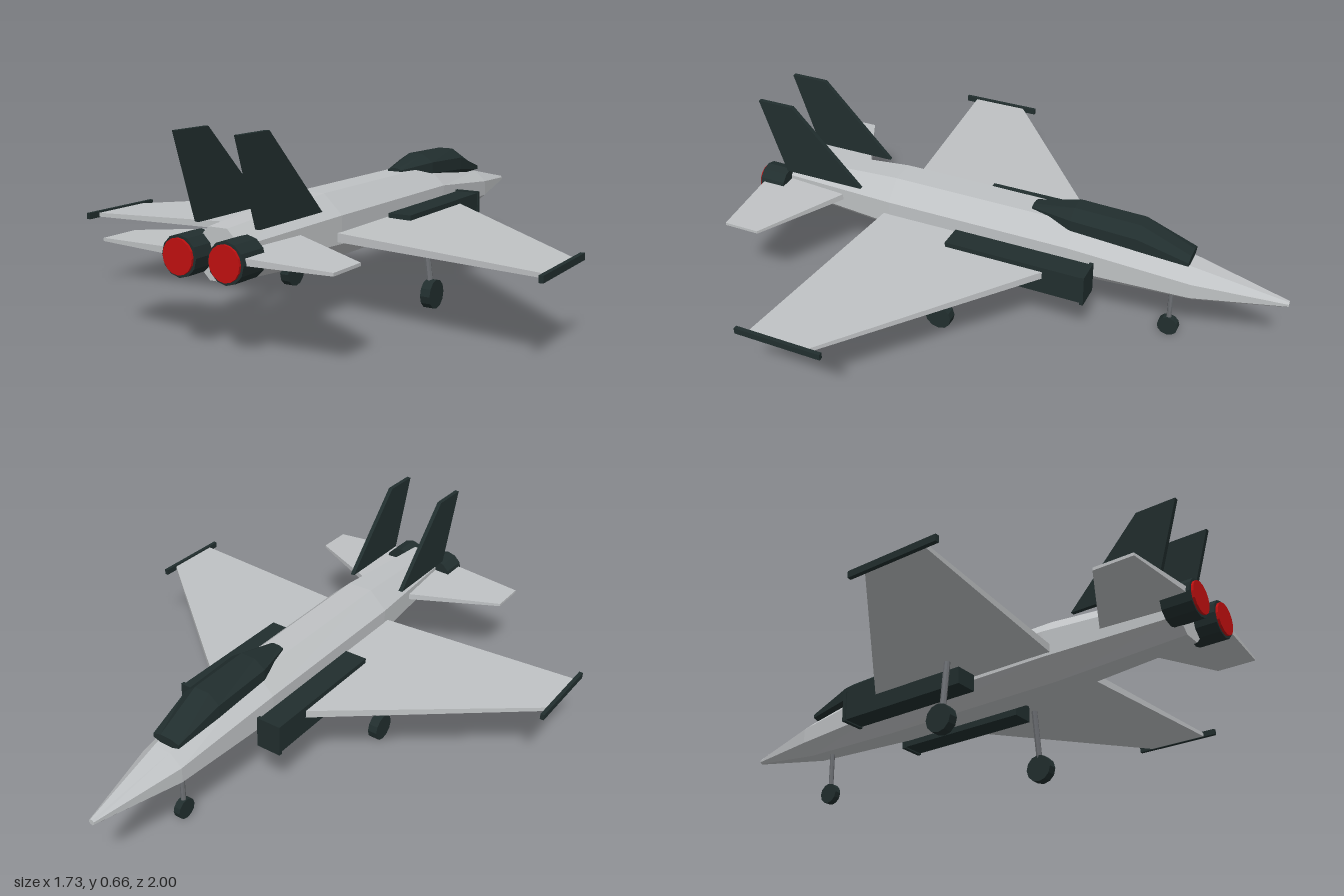
import * as THREE from 'three';
import { ConvexGeometry } from 'three/addons/geometries/ConvexGeometry.js';

const mat = (name, color, flatShading = true) => {
  const m = new THREE.MeshStandardMaterial({ color, flatShading });
  m.name = name;
  return m;
};

// Octagonal loft along z through sections [z, centreY, halfWidth, halfHeight]
function loft(sections, sides = 8) {
  const pos = [], idx = [], k = 1 / Math.cos(Math.PI / sides);
  for (const [z, cy, rx, ry] of sections)
    for (let j = 0; j < sides; j++) {
      const a = ((j + 0.5) / sides) * Math.PI * 2;
      pos.push(Math.cos(a) * rx * k, cy + Math.sin(a) * ry * k, z);
    }
  const last = (sections.length - 1) * sides;
  for (let i = 0; i < sections.length - 1; i++)
    for (let j = 0; j < sides; j++) {
      const n = (j + 1) % sides;
      const a = i * sides + j, b = i * sides + n, c = b + sides, d = a + sides;
      idx.push(a, b, d, b, c, d);
    }
  for (let j = 1; j < sides - 1; j++) idx.push(0, j + 1, j, last, last + j, last + j + 1);
  const g = new THREE.BufferGeometry();
  g.setAttribute('position', new THREE.Float32BufferAttribute(pos, 3));
  g.setIndex(idx);
  const flat = g.toNonIndexed();
  flat.computeVertexNormals();
  return flat;
}

// Tapered surface from a root and a tip chord: { x, z0, z1, y0, y1 }
function panel(side, root, tip) {
  const pts = [];
  for (const c of [root, tip])
    for (const z of [c.z0, c.z1])
      for (const y of [c.y0, c.y1]) pts.push(new THREE.Vector3(side * c.x, y, z));
  return new ConvexGeometry(pts);
}

export function createModel() {
  const model = new THREE.Group();
  model.name = 'jet';
  const grey = mat('lightGrey', 0xbfc2c4);
  const dark = mat('darkGreenBlack', 0x212e2e);
  const steel = mat('strutGrey', 0x6c6f73);
  const red = mat('exhaustRed', 0xc01010);

  const add = (name, geo, material, x = 0, y = 0, z = 0) => {
    const m = new THREE.Mesh(geo, material);
    m.name = name;
    m.position.set(x, y, z);
    model.add(m);
    return m;
  };

  // Strut between two points
  const strut = (name, a, b, r) => {
    const p = new THREE.Vector3(...a), q = new THREE.Vector3(...b);
    const m = add(name, new THREE.CylinderGeometry(r, r, p.distanceTo(q), 8), steel);
    m.position.copy(p).add(q).multiplyScalar(0.5);
    m.quaternion.setFromUnitVectors(new THREE.Vector3(0, 1, 0), p.sub(q).normalize());
  };
  const wheel = (name, x, z, r, w) =>
    add(name, new THREE.CylinderGeometry(r, r, w, 12).rotateZ(Math.PI / 2), dark, x, r + 0.003, z);

  // Body
  add('fuselage', loft([
    [-1, 0.264, 0.01, 0.01],
    [-0.68, 0.273, 0.08, 0.068],
    [-0.25, 0.302, 0.114, 0.112],
    [0.45, 0.306, 0.117, 0.112],
    [0.92, 0.305, 0.082, 0.08],
  ]), grey);
  add('canopy', loft([
    [-0.66, 0.36, 0.054, 0.016],
    [-0.48, 0.4, 0.071, 0.056],
    [-0.24, 0.413, 0.071, 0.049],
    [-0.08, 0.416, 0.028, 0.011],
  ]), dark);

  // Nose gear
  strut('noseStrut', [0, 0.25, -0.6], [0, 0.05, -0.6], 0.009);
  wheel('noseWheel', 0, -0.6, 0.038, 0.026);

  for (const s of [1, -1]) {
    const n = s > 0 ? 'left' : 'right';

    // Wing, tip rail and tailplane
    add(n + 'Wing', panel(s,
      { x: 0.09, z0: -0.295, z1: 0.472, y0: 0.27, y1: 0.3 },
      { x: 0.86, z0: 0.34, z1: 0.555, y0: 0.267, y1: 0.281 }), grey);
    add(n + 'WingTipRail', new THREE.BoxGeometry(0.014, 0.022, 0.32), dark, s * 0.86, 0.276, 0.44);
    add(n + 'Tailplane', panel(s,
      { x: 0.08, z0: 0.645, z1: 0.985, y0: 0.302, y1: 0.326 },
      { x: 0.42, z0: 0.82, z1: 0.955, y0: 0.304, y1: 0.314 }), grey);

    // Upright fin
    const finShape = new THREE.Shape([[0.565, 0.383], [0.88, 0.383], [0.965, 0.662], [0.825, 0.662]]
      .map(([z, y]) => new THREE.Vector2(-z, y)));
    const fin = new THREE.ExtrudeGeometry(finShape, { depth: 0.016, bevelEnabled: false });
    fin.translate(0, 0, -0.008).rotateY(Math.PI / 2);
    add(n + 'Fin', fin, dark, s * 0.112, 0, 0);

    // Air intake with a slightly larger lip
    add(n + 'Intake', new THREE.BoxGeometry(0.086, 0.106, 0.52), dark, s * 0.168, 0.262, -0.085);
    add(n + 'IntakeLip', new THREE.BoxGeometry(0.094, 0.116, 0.014), dark, s * 0.168, 0.262, -0.342);

    // Engine nozzle and glowing exhaust
    add(n + 'Nozzle', new THREE.CylinderGeometry(0.064, 0.064, 0.1, 12).rotateX(Math.PI / 2),
      dark, s * 0.085, 0.305, 0.942);
    add(n + 'Exhaust', new THREE.CylinderGeometry(0.055, 0.055, 0.008, 16).rotateX(Math.PI / 2),
      red, s * 0.085, 0.305, 0.996);

    // Main gear
    strut(n + 'MainStrut', [s * 0.26, 0.272, 0.165], [s * 0.287, 0.06, 0.165], 0.011);
    wheel(n + 'MainWheel', s * 0.29, 0.165, 0.05, 0.036);
  }
  return model;
}
